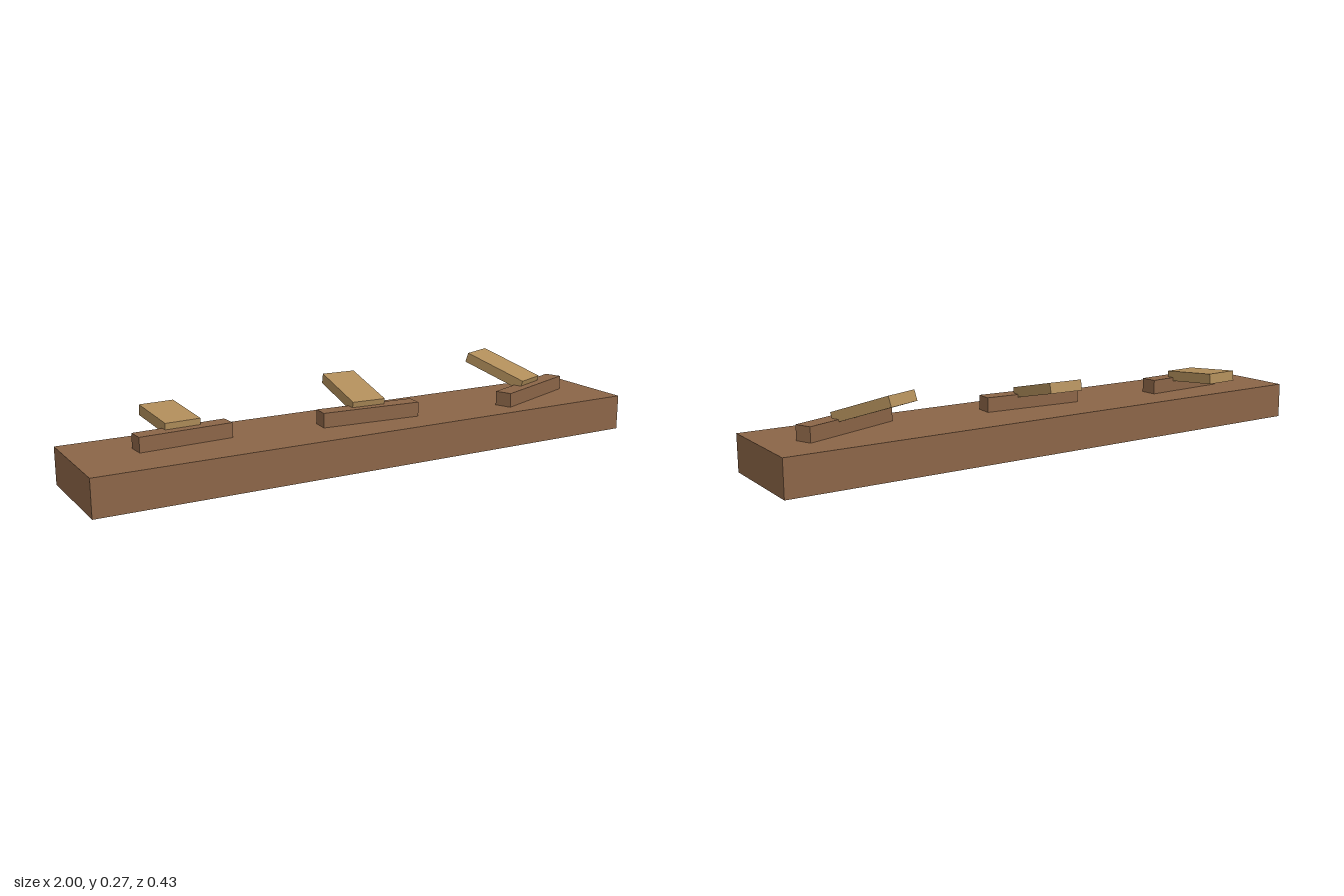
import * as THREE from 'three';

const darkWood = new THREE.MeshStandardMaterial({ color: 0x8b6547, side: THREE.DoubleSide });
darkWood.name = 'dark wood';
const paleWood = new THREE.MeshStandardMaterial({ color: 0xb08d5a });
paleWood.name = 'pale wood';

const rad = THREE.MathUtils.degToRad;

// A box placed by its centre, turned about y and then tipped about its own x
function plank(name, size, position, yaw, pitch, material) {
  const mesh = new THREE.Mesh(new THREE.BoxGeometry(...size), material);
  mesh.name = name;
  mesh.position.set(...position);
  mesh.rotation.set(rad(pitch), rad(yaw), 0, 'YXZ');
  return mesh;
}

// Long base, a hollow shell open underneath
function createBase() {
  const geometry = new THREE.BoxGeometry(2, 0.125, 0.374);
  const index = Array.from(geometry.index.array);
  index.splice(18, 6); // drop the bottom face
  geometry.setIndex(index);
  geometry.clearGroups();
  const base = new THREE.Mesh(geometry, darkWood);
  base.name = 'base';
  base.position.set(0, 0.0625, 0.026);
  return base;
}

export function createModel() {
  const model = new THREE.Group();
  model.name = 'plankWithPaddles';
  model.add(createBase());

  // Each station is a cleat lying on the base with a slanted paddle leaning on it
  const stations = [
    { name: 'right', cleat: [-0.634, 0.003], cleatLength: 0.32, cleatYaw: 3.5,
      paddle: [-0.637, 0.187, -0.107], paddleLength: 0.212, paddleYaw: 3, pitch: 4.6 },
    { name: 'middle', cleat: [0.016, 0.05], cleatLength: 0.357, cleatYaw: -4,
      paddle: [0.023, 0.203, -0.067], paddleLength: 0.242, paddleYaw: -3, pitch: 12.5 },
    { name: 'left', cleat: [0.704, 0.055], cleatLength: 0.369, cleatYaw: 22,
      paddle: [0.661, 0.215, -0.055], paddleLength: 0.247, paddleYaw: 22.5, pitch: 18 },
  ];
  for (const s of stations) {
    const group = new THREE.Group();
    group.name = s.name + 'Station';
    const [x, z] = s.cleat;
    group.add(
      plank('cleat', [s.cleatLength, 0.05, 0.06], [x, 0.15, z], s.cleatYaw, 0, darkWood),
      plank('paddle', [0.121, 0.036, s.paddleLength], s.paddle, s.paddleYaw, s.pitch, paleWood),
    );
    model.add(group);
  }
  return model;
}
